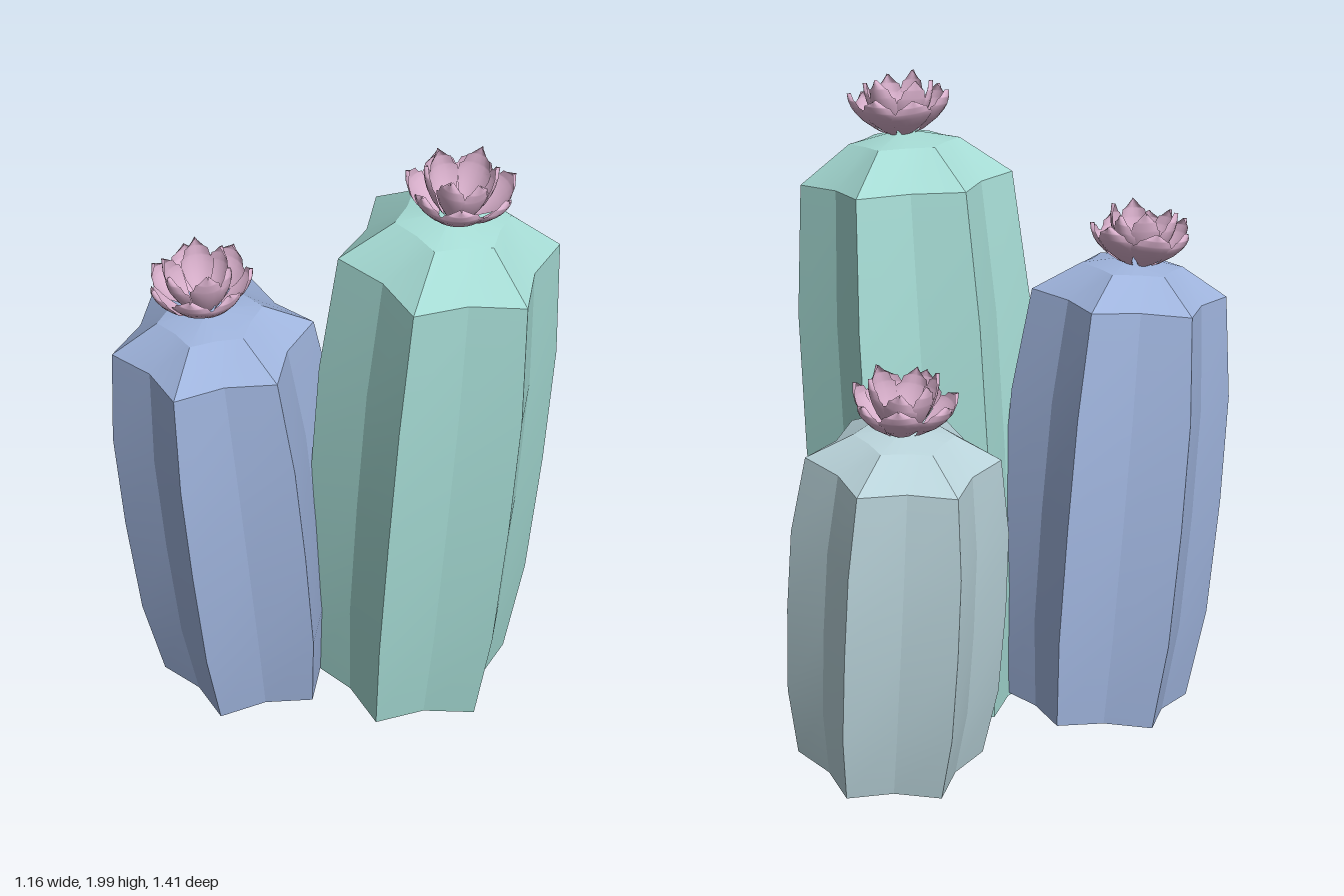
import * as THREE from 'three';
import { toCreasedNormals } from 'three/addons/utils/BufferGeometryUtils.js';

const RIBS = 6;
const VALLEY = 0.78; // valley radius relative to rib radius

// Grid of points p(row, col) turned into an indexed geometry
function gridGeometry(rows, cols, point) {
  const pos = [], idx = [];
  for (let r = 0; r < rows; r++) for (let c = 0; c < cols; c++) pos.push(...point(r, c));
  for (let r = 0; r < rows - 1; r++) for (let c = 0; c < cols - 1; c++) {
    const a = r * cols + c, b = a + 1, d = a + cols, e = d + 1;
    idx.push(a, d, b, b, d, e);
  }
  const g = new THREE.BufferGeometry();
  g.setAttribute('position', new THREE.Float32BufferAttribute(pos, 3));
  g.setIndex(idx);
  return g;
}

// Star-shaped ribbed stem with a faceted dome; profile rows are [radius, height, valley ratio]
function stemGeometry(radius, mid, length, dome) {
  const profile = [
    [0, 0, 1],
    [radius, 0, VALLEY],
    [radius + (mid - radius) * 0.85, length * 0.22, VALLEY],
    [mid, length * 0.5, VALLEY],
    [radius + (mid - radius) * 0.85, length * 0.76, VALLEY],
    [radius, length, VALLEY],
    [radius * 0.52, length + dome * 0.76, 0.82],
    [0, length + dome, 1],
  ];
  const g = gridGeometry(profile.length, RIBS * 2 + 1, (r, c) => {
    const [rad, y, ratio] = profile[r];
    const a = (c / (RIBS * 2)) * Math.PI * 2;
    const k = c % 2 ? rad * ratio : rad;
    return [k * Math.cos(a), y, k * Math.sin(a)];
  });
  return toCreasedNormals(g, 0.3);
}

// Cupped petal with a ragged pointed tip, wrapped around the flower axis
const PETAL = [[0, 0.3], [0.2, 0.62], [0.45, 0.95], [0.62, 1], [0.72, 0.96], [0.75, 0.76], [0.86, 0.62], [0.88, 0.46], [1, 0.03]];
function petalGeometry(baseR, tipR, height, halfAngle) {
  const g = gridGeometry(PETAL.length, 7, (r, c) => {
    const [v, w] = PETAL[r];
    const u = c / 3 - 1;
    const a = u * w * halfAngle;
    const rad = baseR + (tipR - baseR) * Math.sin(v * Math.PI * 0.5) - 0.012 * u * u * v;
    return [rad * Math.sin(a), height * Math.pow(v, 1.25), rad * Math.cos(a)];
  });
  g.computeVertexNormals();
  return g;
}

function createFlower(material) {
  const flower = new THREE.Group();
  flower.name = 'flower';
  const layers = [
    { name: 'outerPetal', geo: petalGeometry(0.03, 0.155, 0.135, 0.52), count: 7, turn: 0 },
    { name: 'innerPetal', geo: petalGeometry(0.025, 0.105, 0.18, 0.6), count: 6, turn: 0.4 },
  ];
  for (const { name, geo, count, turn } of layers) {
    for (let i = 0; i < count; i++) {
      const petal = new THREE.Mesh(geo, material);
      petal.name = name;
      petal.rotation.y = turn + (i / count) * Math.PI * 2;
      petal.rotation.z = 0.07 * (i % 2 ? 1 : -1);
      petal.scale.y = 1 - 0.05 * (i % 3);
      flower.add(petal);
    }
  }
  return flower;
}

export function createModel() {
  const model = new THREE.Group();
  model.name = 'cactusCluster';
  const pink = new THREE.MeshStandardMaterial({ color: 0xd9b0cc, side: THREE.DoubleSide });

  const cacti = [
    { name: 'tallCactus', color: 0xa6dcd5, base: [0.1, 0.032, -0.05], tilt: [0, -0.094], radius: 0.32, mid: 0.362, length: 1.66, dome: 0.15, bloom: [0.015, 0] },
    { name: 'frontCactus', color: 0x9fb4dd, base: [-0.23, 0.042, 0.33], tilt: [0.085, -0.01], radius: 0.297, mid: 0.343, length: 1.322, dome: 0.115, bloom: [-0.03, 0] },
    { name: 'backCactus', color: 0xb9d3da, base: [-0.2, 0.05, -0.42], tilt: [-0.004, 0.097], radius: 0.28, mid: 0.322, length: 1.0, dome: 0.1, bloom: [0.01, 0] },
  ];

  cacti.forEach((c, i) => {
    const cactus = new THREE.Group();
    cactus.name = c.name;
    const stem = new THREE.Mesh(
      stemGeometry(c.radius, c.mid, c.length, c.dome),
      new THREE.MeshStandardMaterial({ color: c.color })
    );
    stem.name = 'ribbedStem';
    const flower = createFlower(pink);
    flower.position.set(c.bloom[0], c.length + c.dome - 0.02, c.bloom[1]);
    flower.rotation.y = i * 0.7;
    cactus.add(stem, flower);
    cactus.position.set(...c.base);
    cactus.rotation.set(c.tilt[0], 0, c.tilt[1]);
    model.add(cactus);
  });
  return model;
}
